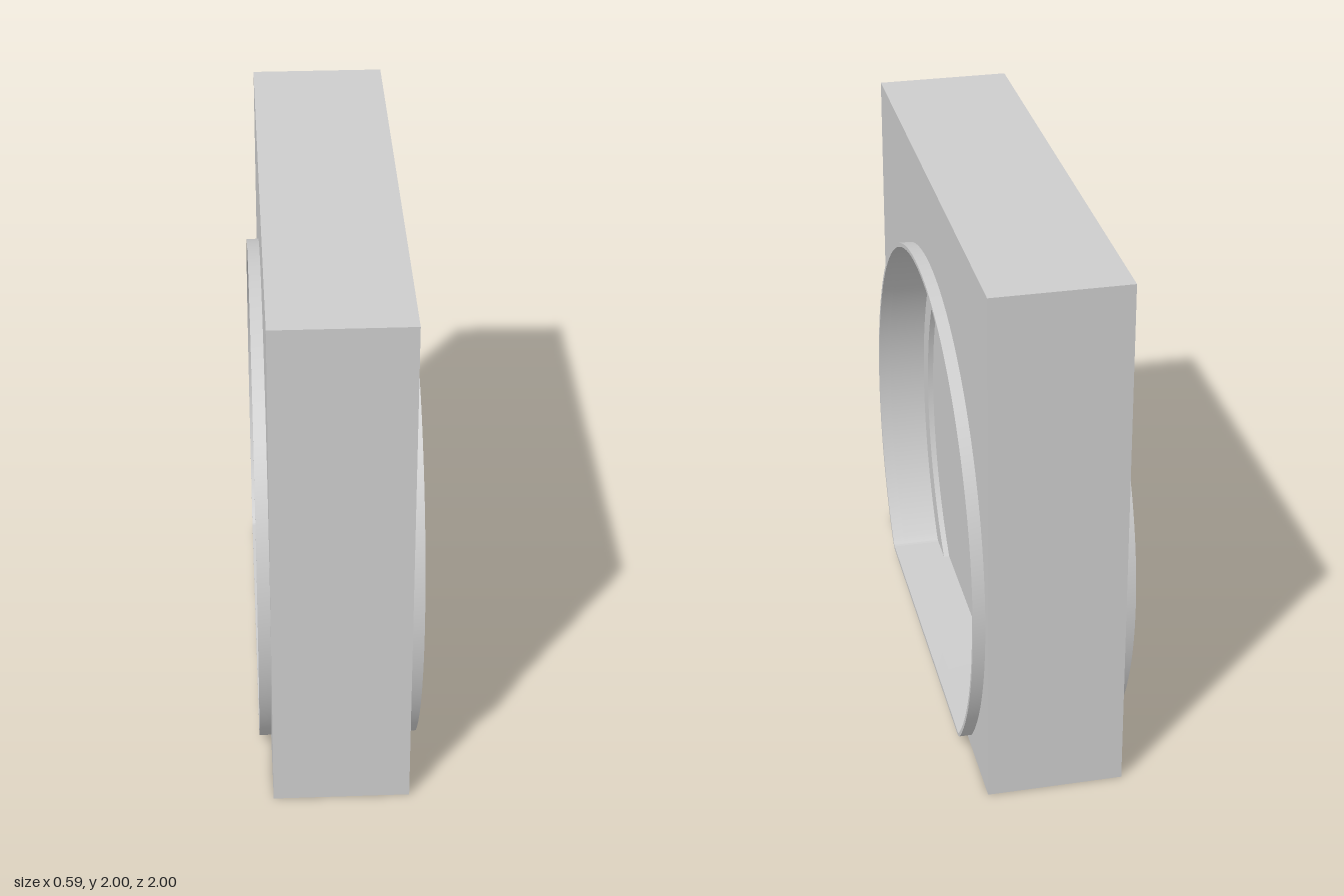
import * as THREE from 'three';
import { toCreasedNormals } from 'three/addons/utils/BufferGeometryUtils.js';

const CENTER_Y = 0.705;   // centre of the round opening
const HALF = 0.25;        // half thickness of the block
const FLOOR = 0.05;       // flat bottom of the opening

// Circle cut by a flat bottom, with softened lower corners
function cutCircle(path, radius, bottom, soft) {
  const a = Math.asin((bottom - CENTER_Y) / radius);
  const trim = soft / radius;
  const corner = radius * Math.cos(a);
  path.absarc(0, CENTER_Y, radius, a + trim, Math.PI - a - trim, false);
  path.quadraticCurveTo(-corner, bottom, -corner + soft, bottom);
  path.lineTo(corner - soft, bottom);
  const end = a + trim;
  path.quadraticCurveTo(corner, bottom, radius * Math.cos(end), CENTER_Y + radius * Math.sin(end));
  return path;
}

// Extrude a side profile along x, between two x positions
function slab(shape, x0, x1) {
  const g = new THREE.ExtrudeGeometry(shape, { depth: x1 - x0, bevelEnabled: false, curveSegments: 96 });
  g.rotateY(Math.PI / 2);
  g.translate(x0, 0, 0);
  return toCreasedNormals(g, 0.4);
}

export function createModel() {
  const model = new THREE.Group();
  model.name = 'recessedBlock';
  const grey = new THREE.MeshStandardMaterial({ color: 0xcccccc });
  grey.name = 'light grey';

  const add = (name, geometry) => {
    const mesh = new THREE.Mesh(geometry, grey);
    mesh.name = name;
    model.add(mesh);
  };

  const opening = () => cutCircle(new THREE.Path(), 0.945, FLOOR, 0.012);

  // Square block with the round opening through it
  const block = new THREE.Shape([
    new THREE.Vector2(-1, 0), new THREE.Vector2(1, 0),
    new THREE.Vector2(1, 2), new THREE.Vector2(-1, 2),
  ]);
  block.holes.push(opening());
  add('block', slab(block, -HALF, HALF));

  // Panel closing the opening in the middle
  add('centerPanel', slab(cutCircle(new THREE.Shape(), 0.945, FLOOR, 0.012), -0.085, 0.085));

  // Thin rim standing out of each side
  const rim = cutCircle(new THREE.Shape(), 0.96, 0.035, 0.04);
  rim.holes.push(opening());

  // Stepped flange around the panel, open at the floor
  const flange = new THREE.Shape();
  const outerA = Math.asin((FLOOR - CENTER_Y) / 0.945);
  const innerA = Math.asin((FLOOR - CENTER_Y) / 0.852);
  flange.absarc(0, CENTER_Y, 0.945, outerA, Math.PI - outerA, false);
  flange.absarc(0, CENTER_Y, 0.852, Math.PI - innerA, innerA, true);
  flange.closePath();

  for (const [side, s] of [['left', 1], ['right', -1]]) {
    const between = (a, b) => (s > 0 ? [a, b] : [-b, -a]);
    add(side + 'Rim', slab(rim, ...between(HALF, 0.295)));
    add(side + 'Flange', slab(flange, ...between(0.085, 0.107)));
  }
  return model;
}
